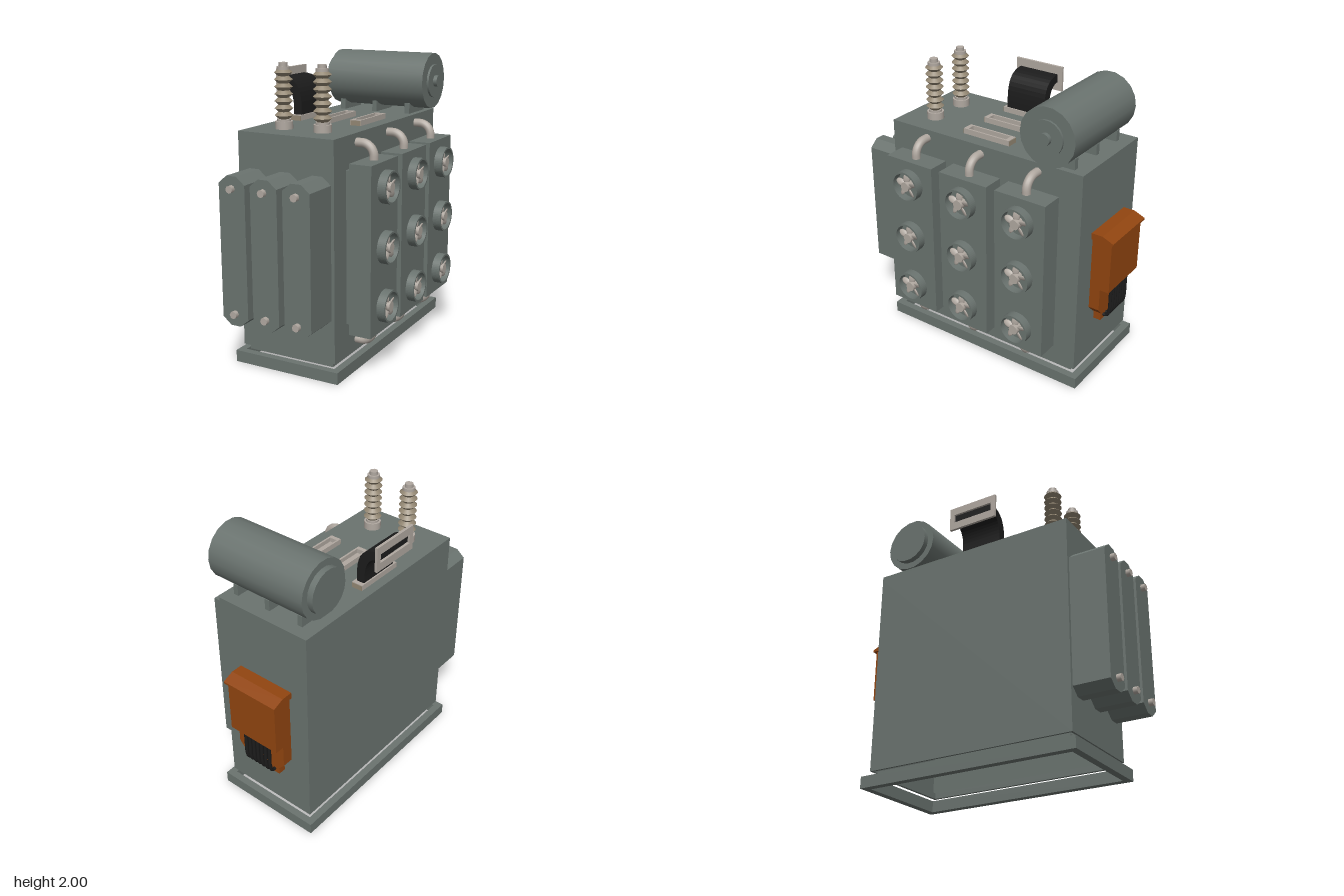
import * as THREE from 'three';

const mat = (name, color, side = THREE.FrontSide) => {
  const m = new THREE.MeshStandardMaterial({ color, side });
  m.name = name;
  return m;
};

export function createModel() {
  const root = new THREE.Group();
  root.name = 'powerTransformer';
  const steel = mat('grey green steel', 0x6a736f);
  const metal = mat('pale metal', 0xb0a8a0);
  const ceramic = mat('tan ceramic', 0x938773);
  const rubber = mat('black rubber', 0x1c1c1c);
  const orange = mat('burnt orange', 0x914510);

  const add = (name, geo, material, parent = root) => {
    const m = new THREE.Mesh(geo, material);
    m.name = name;
    parent.add(m);
    return m;
  };
  // Box given by its limits on each axis
  const box = (name, material, x0, x1, y0, y1, z0, z1, parent = root) => {
    const m = add(name, new THREE.BoxGeometry(x1 - x0, y1 - y0, z1 - z0), material, parent);
    m.position.set((x0 + x1) / 2, (y0 + y1) / 2, (z0 + z1) / 2);
    return m;
  };
  const polygon = (pts) => new THREE.Shape(pts.map(([x, y]) => new THREE.Vector2(x, y)));
  const extrude = (shape, depth) =>
    new THREE.ExtrudeGeometry(shape, { depth, bevelEnabled: false, curveSegments: 10 });
  const rect = (x0, x1, y0, y1) => [[x0, y0], [x1, y0], [x1, y1], [x0, y1]];
  const frameShape = (x0, x1, y0, y1, wx, wy = wx) => {
    const s = polygon(rect(x0, x1, y0, y1));
    s.holes.push(polygon(rect(x0 + wx, x1 - wx, y0 + wy, y1 - wy)));
    return s;
  };
  // Rectangular tube standing upright
  const ring = (name, material, x0, x1, y0, y1, z0, z1, wx, wz = wx) => {
    const m = add(name, extrude(frameShape(x0, x1, -z1, -z0, wx, wz), y1 - y0), material);
    m.rotation.x = -Math.PI / 2;
    m.position.y = y0;
    return m;
  };
  // Cylinder lying along an axis, from a to b
  const rod = (name, material, axis, a, b, r, pos, seg = 16, parent = root) => {
    const m = add(name, new THREE.CylinderGeometry(r, r, b - a, seg), material, parent);
    m.position.set(...pos);
    m.position[axis] = (a + b) / 2;
    if (axis === 'x') m.rotation.z = -Math.PI / 2;
    if (axis === 'z') m.rotation.x = Math.PI / 2;
    return m;
  };
  const V = (x, y, z) => new THREE.Vector3(x, y, z);

  // Hollow tank, open underneath
  ring('baseFlange', steel, -0.5, 0.28, 0, 0.08, -0.85, 0.73, 0.05);
  ring('tankNeck', steel, -0.43, 0.21, 0.08, 0.12, -0.77, 0.66, 0.02);
  ring('tankWalls', steel, -0.46, 0.24, 0.12, 1.55, -0.81, 0.69, 0.015);
  box('tankLid', steel, -0.46, 0.24, 1.55, 1.575, -0.81, 0.69);
  box('frontPlate', rubber, -0.03, 0.05, 1.1, 1.23, 0.688, 0.696);

  // Chamfered radiator fins on the front
  for (const x of [-0.343, -0.111, 0.122]) {
    const w = 0.096, c = 0.06, y0 = 0.36, y1 = 1.34;
    const fin = add('frontFin', extrude(polygon([
      [-w + c, y0], [w - c, y0], [w, y0 + 0.05], [w, y1 - 0.05],
      [w - c, y1], [-w + c, y1], [-w, y1 - 0.05], [-w, y0 + 0.05]]), 0.25), steel);
    fin.position.set(x, 0, 0.69);
    for (const y of [0.44, 1.26]) rod('finBolt', metal, 'z', 0.94, 0.97, 0.025, [x, y, 0], 8);
  }

  // Side radiators with pipes and fans
  const petal = new THREE.SphereGeometry(1, 12, 8);
  for (const z of [0.395, -0.045, -0.485]) {
    box('radiatorPanel', steel, 0.285, 0.44, 0.29, 1.413, z - 0.188, z + 0.188);
    box('radiatorMount', steel, 0.24, 0.285, 0.34, 1.36, z - 0.14, z + 0.14);
    for (const [y, d] of [[1.515, -1], [0.19, 1]]) {
      const path = new THREE.CurvePath();
      path.add(new THREE.LineCurve3(V(0.23, y, z), V(0.28, y, z)));
      path.add(new THREE.CubicBezierCurve3(V(0.28, y, z), V(0.325, y, z),
        V(0.362, y + d * 0.035, z), V(0.362, y + d * 0.08, z)));
      path.add(new THREE.LineCurve3(V(0.362, y + d * 0.08, z), V(0.362, y + d * 0.12, z)));
      add('radiatorPipe', new THREE.TubeGeometry(path, 20, 0.029, 14), metal);
    }
    for (const y of [0.46, 0.855, 1.25]) {
      const fan = new THREE.Group();
      fan.name = 'fan';
      fan.position.set(0.44, y, z);
      root.add(fan);
      const s = new THREE.Shape().absarc(0, 0, 0.108, 0, Math.PI * 2);
      s.holes.push(new THREE.Path().absarc(0, 0, 0.095, 0, Math.PI * 2, true));
      const housing = add('fanHousing', new THREE.ExtrudeGeometry(s,
        { depth: 0.058, bevelEnabled: false, curveSegments: 28 }), steel, fan);
      housing.rotation.y = Math.PI / 2;
      rod('fanHub', metal, 'x', 0, 0.055, 0.033, [0, 0, 0], 16, fan);
      for (let i = 0; i < 5; i++) {
        const arm = new THREE.Group();
        arm.name = 'fanBladeArm';
        arm.rotation.x = i * Math.PI * 2 / 5;
        const blade = add('fanBlade', petal, metal, arm);
        blade.scale.set(0.008, 0.037, 0.023);
        blade.position.set(0.03, 0.054, 0);
        blade.rotation.y = 0.5;
        fan.add(arm);
      }
    }
  }

  // Oil conservator drum on three feet
  const drum = [0, 1.805, -0.6];
  rod('conservatorDrum', steel, 'x', -0.42, 0.325, 0.196, drum, 18);
  rod('drumLeftCap', steel, 'x', -0.46, -0.42, 0.15, drum, 18);
  rod('drumRightCap', steel, 'x', 0.325, 0.34, 0.117, drum, 18);
  rod('drumGauge', steel, 'x', 0.34, 0.367, 0.04, drum, 14);
  for (const x of [-0.34, -0.08, 0.18])
    box('drumFoot', steel, x - 0.018, x + 0.018, 1.57, 1.65, -0.725, -0.475);

  // Ribbed ceramic bushings
  for (const x of [-0.245, 0.042]) {
    const bushing = new THREE.Group();
    bushing.name = 'bushing';
    bushing.position.set(x, 0, 0.48);
    root.add(bushing);
    rod('bushingBase', metal, 'y', 1.57, 1.625, 0.058, [0, 0, 0], 20, bushing);
    rod('bushingCollar', metal, 'y', 1.625, 1.64, 0.045, [0, 0, 0], 20, bushing);
    const sheds = 7, h = 0.32 / sheds;
    for (let i = 0; i < sheds; i++) {
      const lower = add('shedUnderside',
        new THREE.CylinderGeometry(0.06, 0.035, h / 2, 20, 1, true), ceramic, bushing);
      lower.position.y = 1.64 + h * (i + 0.25);
      const upper = add('shedTop',
        new THREE.CylinderGeometry(0.035, 0.06, h / 2, 20, 1, true), ceramic, bushing);
      upper.position.y = 1.64 + h * (i + 0.75);
    }
    rod('bushingCap', metal, 'y', 1.955, 1.975, 0.042, [0, 0, 0], 16, bushing);
    rod('bushingTerminal', metal, 'y', 1.975, 2, 0.028, [0, 0, 0], 12, bushing);
  }

  // Slotted frames on the lid
  for (const x of [-0.355, -0.125, 0.105]) {
    ring('slotFrame', metal, x - 0.04, x + 0.04, 1.575, 1.612, -0.2, 0.16, 0.013, 0.03);
    box('slotFloor', metal, x - 0.03, x + 0.03, 1.57, 1.582, -0.18, 0.14);
    for (const z of [-0.201, 0.161])
      box('slotEndPlate', ceramic, x - 0.038, x + 0.038, 1.575, 1.608, z - 0.002, z + 0.002);
  }

  // Curved duct rising to an open outlet frame
  const duct = new THREE.Shape();
  duct.moveTo(-0.325, 1.6);
  duct.lineTo(-0.325, 1.66);
  duct.bezierCurveTo(-0.325, 1.8, -0.37, 1.865, -0.488, 1.865);
  duct.lineTo(-0.488, 1.81);
  duct.bezierCurveTo(-0.42, 1.81, -0.385, 1.75, -0.385, 1.66);
  duct.lineTo(-0.385, 1.6);
  add('duct', extrude(duct, 0.3), rubber).position.z = -0.165;
  const outlet = add('ductOutletFrame',
    extrude(frameShape(-0.185, 0.185, 1.75, 1.92, 0.035, 0.055), 0.018), metal);
  outlet.rotation.y = Math.PI / 2;
  outlet.position.set(-0.503, 0, -0.015);

  // Control cabinet on the back
  const cx = -0.1175;
  box('cabinetBody', orange, cx - 0.195, cx + 0.195, 0.7, 1.075, -0.95, -0.81);
  const roof = add('cabinetRoof', extrude(polygon([
    [0.81, 1.07], [0.968, 1.07], [0.968, 1.083], [0.89, 1.115], [0.81, 1.115]]), 0.425), orange);
  roof.rotation.y = Math.PI / 2;
  roof.position.x = cx - 0.2125;
  const w = 0.195;
  add('cabinetLowerPanel', extrude(polygon([
    [cx - w, 0.7], [cx - w, 0.54], [cx - w + 0.05, 0.485],
    [cx + w - 0.05, 0.485], [cx + w, 0.54], [cx + w, 0.7]]), 0.075), orange).position.z = -0.885;
  box('cableEntryBox', orange, cx - 0.14, cx + 0.14, 0.425, 0.49, -0.873, -0.82);
  for (let i = 0; i < 7; i++) {
    const x = cx + (i - 3) * 0.034;
    const curve = new THREE.CatmullRomCurve3([V(x, 0.71, -0.918), V(x, 0.6, -0.918),
      V(x, 0.5, -0.916), V(x, 0.46, -0.9), V(x, 0.452, -0.865)]);
    add('cable', new THREE.TubeGeometry(curve, 16, 0.012, 8), rubber);
  }
  return root;
}
